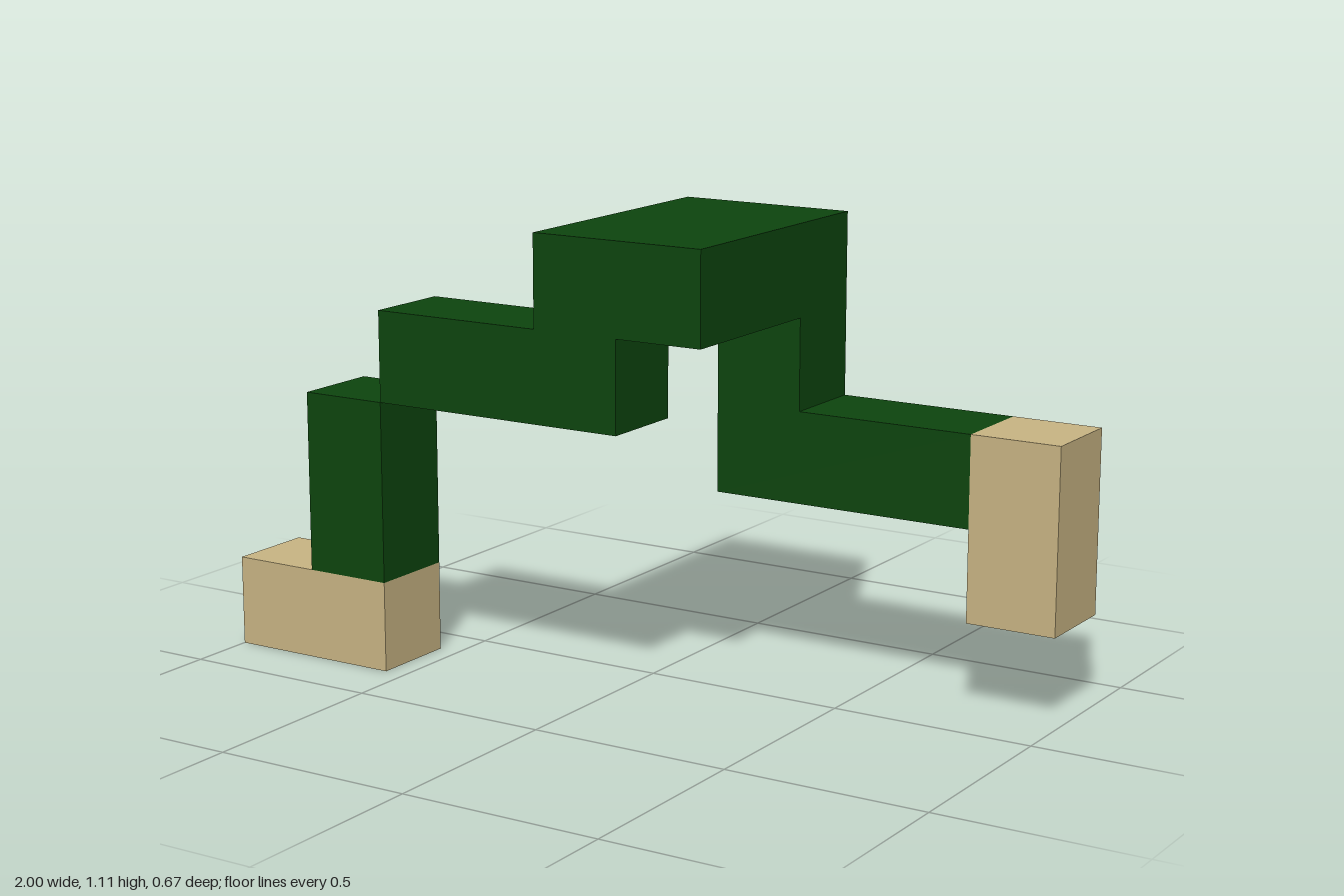
import * as THREE from 'three';

// The figure is laid out on a grid of cubes, nine units wide
const U = 2 / 9;

export function createModel() {
  const green = new THREE.MeshStandardMaterial({ color: 0x0d450e });
  green.name = 'darkGreen';
  const tan = new THREE.MeshStandardMaterial({ color: 0xc9b584 });
  tan.name = 'tan';

  const model = new THREE.Group();
  model.name = 'walkingLegs';

  // Box between two grid corners, given in units
  function block(parent, name, material, [x0, y0, z0], [x1, y1, z1]) {
    const geometry = new THREE.BoxGeometry((x1 - x0) * U, (y1 - y0) * U, (z1 - z0) * U);
    const mesh = new THREE.Mesh(geometry, material);
    mesh.name = name;
    mesh.position.set((x0 + x1) / 2 * U, (y0 + y1) / 2 * U, (z0 + z1) / 2 * U);
    parent.add(mesh);
  }

  // Hips bridging both legs
  block(model, 'hips', green, [-0.5, 4, -1.5], [1.5, 5, 1.5]);

  // Right leg, standing on the ground at the front
  const rightLeg = new THREE.Group();
  rightLeg.name = 'rightLeg';
  block(rightLeg, 'rightThigh', green, [-2.5, 3, 0.5], [0.5, 4, 1.5]);
  block(rightLeg, 'rightShin', green, [-3.5, 1, 0.5], [-2.5, 3, 1.5]);
  block(rightLeg, 'rightFoot', tan, [-4.5, 0, 0.5], [-2.5, 1, 1.5]);
  model.add(rightLeg);

  // Left leg, raised at the back
  const leftLeg = new THREE.Group();
  leftLeg.name = 'leftLeg';
  block(leftLeg, 'leftThigh', green, [0.5, 3, -1.5], [1.5, 4, -0.5]);
  block(leftLeg, 'leftShin', green, [0.5, 2, -1.5], [3.5, 3, -0.5]);
  block(leftLeg, 'leftFoot', tan, [3.5, 1, -1.5], [4.5, 3, -0.5]);
  model.add(leftLeg);

  return model;
}
